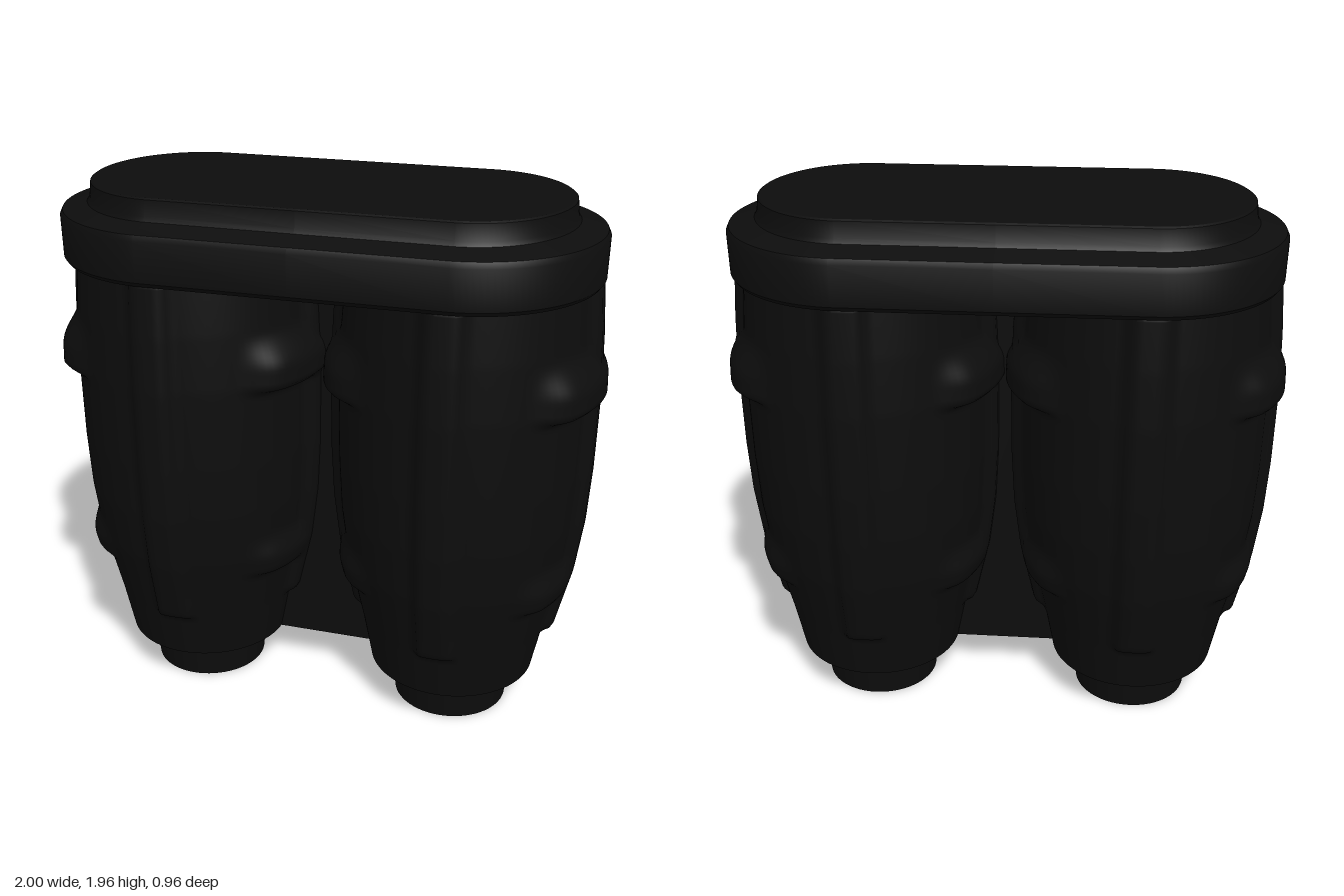
import * as THREE from 'three';
import { mergeVertices, toCreasedNormals } from 'three/addons/utils/BufferGeometryUtils.js';

const V2 = (x, y) => new THREE.Vector2(x, y);
const step = THREE.MathUtils.smoothstep;

// Leg radius by height, without its raised ribs and bands
const legProfile = [
  [0.16, 0.31], [0.34, 0.345], [0.45, 0.37], [0.6, 0.405], [0.8, 0.43],
  [1.0, 0.44], [1.3, 0.443], [1.5, 0.435], [1.7, 0.42], [1.86, 0.415],
];

function baseRadius(y) {
  let i = 0;
  while (i < legProfile.length - 2 && y > legProfile[i + 1][0]) i++;
  const [y0, r0] = legProfile[i];
  const [y1, r1] = legProfile[i + 1];
  return r0 + (r1 - r0) * (y - y0) / (y1 - y0);
}

// Band with a sharp lower edge and a soft upper edge
const band = (y, low, mid, high) => step(y, low, low + 0.035) * (1 - step(y, mid, high));

// Height of the raised detail at an angle and height on the leg
function relief(angle, y) {
  const c = Math.abs(Math.cos(angle));
  const s = Math.abs(Math.sin(angle));
  const across = Math.min(c, s) * baseRadius(y);
  const rib = 0.036 * (1 - step(across, 0.045, 0.085)) * step(y, 0.33, 0.37) * (1 - step(y, 1.69, 1.72));
  const side = step(c, 0.62, 0.86);
  const upper = 0.055 * side * band(y, 1.265, 1.36, 1.5);
  const lower = 0.035 * side * band(y, 0.505, 0.58, 0.7);
  return Math.max(rib, upper, lower);
}

// Barrel-shaped leg with ribs and bands raised from its surface
function legGeometry() {
  const rows = 110;
  const points = [];
  for (let i = 0; i <= rows; i++) {
    const y = 0.16 + 1.7 * i / rows;
    points.push(V2(baseRadius(y), y));
  }
  let geo = new THREE.LatheGeometry(points, 128);
  geo.deleteAttribute('uv');
  geo.deleteAttribute('normal');
  geo = mergeVertices(geo, 1e-4);
  const pos = geo.attributes.position;
  for (let i = 0; i < pos.count; i++) {
    const x = pos.getX(i), y = pos.getY(i), z = pos.getZ(i);
    const r = Math.hypot(x, z);
    const k = (r + relief(Math.atan2(z, x), y)) / r;
    pos.setXYZ(i, x * k, y, z * k);
  }
  geo.computeVertexNormals();
  return geo;
}

// Turned profile pulled apart sideways into a long rounded cap
function capGeometry() {
  const profile = [
    V2(0, 1.82), V2(0.42, 1.82), V2(0.44, 1.69), V2(0.465, 1.685), V2(0.476, 1.7),
    V2(0.478, 1.84), V2(0.468, 1.86), V2(0.395, 1.885), V2(0.385, 1.9),
    V2(0.378, 1.955), V2(0.37, 1.96), V2(0, 1.96),
  ];
  const geo = new THREE.LatheGeometry(profile, 128);
  const pos = geo.attributes.position;
  for (let i = 0; i < pos.count; i++) {
    const x = pos.getX(i);
    if (Math.abs(x) < 1e-4) continue;
    const squash = pos.getY(i) > 1.87 ? 0.92 : 0.97;
    pos.setX(i, x * squash + Math.sign(x) * 0.5);
  }
  return toCreasedNormals(geo, 0.5);
}

export function createModel() {
  const model = new THREE.Group();
  model.name = 'model';
  const black = new THREE.MeshStandardMaterial({ color: 0x0d0d0d });
  black.name = 'black';

  const add = (parent, name, geo, x = 0, y = 0, z = 0) => {
    const mesh = new THREE.Mesh(geo, black);
    mesh.name = name;
    mesh.position.set(x, y, z);
    parent.add(mesh);
    return mesh;
  };

  add(model, 'topCap', capGeometry());

  // Two matching legs, each with a tapered foot
  const barrel = legGeometry();
  const base = new THREE.CircleGeometry(0.31, 64).rotateX(Math.PI / 2);
  const foot = new THREE.CylinderGeometry(0.231, 0.214, 0.17, 64);
  for (const side of [-1, 1]) {
    const leg = new THREE.Group();
    leg.name = side > 0 ? 'leftLeg' : 'rightLeg';
    leg.position.x = side * 0.5;
    model.add(leg);
    add(leg, 'barrel', barrel);
    add(leg, 'barrelBase', base, 0, 0.16);
    add(leg, 'foot', foot, 0, 0.085);
  }

  // Thin wall joining the legs
  add(model, 'centrePanel', new THREE.BoxGeometry(0.5, 1.67, 0.04), 0, 0.995);

  return model;
}
